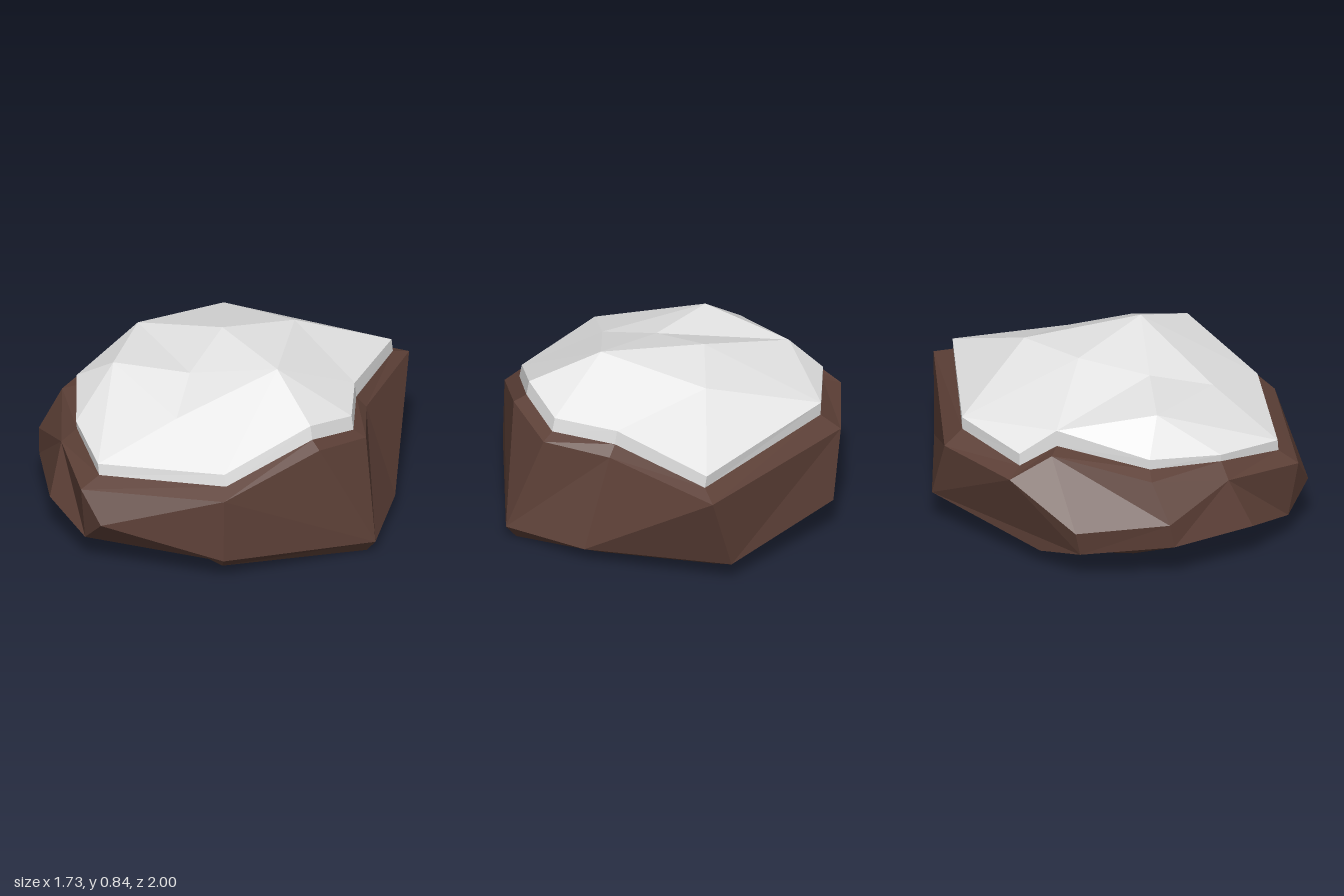
import * as THREE from 'three';

const v = ([x, y, z]) => new THREE.Vector3(x, y, z);

// Flat-shaded mesh from a list of triangles (each three Vector3 corners)
function facetMesh(name, tris, material) {
  const solid = tris.filter(([a, b, c]) =>
    b.clone().sub(a).cross(c.clone().sub(a)).lengthSq() > 1e-12);
  const g = new THREE.BufferGeometry().setFromPoints(solid.flat());
  g.computeVertexNormals();
  const mesh = new THREE.Mesh(g, material);
  mesh.name = name;
  return mesh;
}

// Triangles of a polygon, all sharing the corner numbered apex
function split(poly, apex = 0) {
  const p = [...poly.slice(apex), ...poly.slice(0, apex)];
  return p.slice(2).map((c, i) => [p[0], p[i + 1], c]);
}

// Closed band between two rings; flips lists the quads cut along the other diagonal
const band = (up, low, flips = []) => up.flatMap((a, i) => {
  const j = (i + 1) % up.length;
  return split([a, up[j], low[j], low[i]], flips.includes(i) ? 1 : 0);
});

// Fan closing a ring, facing up or down
function fan(ring, centre, up) {
  return ring.map((p, i) => {
    const q = ring[(i + 1) % ring.length];
    return up ? [centre, q, p] : [centre, p, q];
  });
}

export function createModel() {
  const brown = new THREE.MeshStandardMaterial({ color: 0x5d4037 });
  brown.name = 'rockBrown';
  const pale = new THREE.MeshStandardMaterial({ color: 0xe6e6e6 });
  pale.name = 'capPale';

  // Upper rim of the cap, from the back tip round by the left side (+x),
  // each with the height of the cap's edge there
  const rimData = [
    [0.13, 0.585, -0.895, 0.06], [0.4, 0.64, -0.41, 0.07], [0.63, 0.64, -0.18, 0.07],
    [0.65, 0.7, 0.105, 0.07], [0.515, 0.54, 0.54, 0.06], [0, 0.52, 0.89, 0.058],
    [-0.32, 0.565, 0.74, 0.037], [-0.59, 0.613, 0.49, 0.053], [-0.66, 0.7, 0.03, 0.085],
    [-0.78, 0.6, -0.11, 0.065], [-0.62, 0.63, -0.49, 0.065],
  ];
  const rim = rimData.map(v);
  const foot = rimData.map(([x, y, z, drop]) => v([x * 1.008 + 0.008, y - drop, z]));

  // Raised points on the cap, indices 11 to 16
  const peaks = [
    [0.315, 0.84, 0.015], [-0.18, 0.83, -0.08], [-0.39, 0.745, 0.435],
    [-0.06, 0.75, 0.24], [0.12, 0.667, 0.49], [-0.05, 0.793, -0.43],
  ].map(v);
  const pts = [...rim, ...peaks];
  const facets = [
    [0, 16, 1], [0, 10, 16], [16, 11, 1], [11, 2, 1], [11, 3, 2], [16, 12, 11],
    [10, 12, 16], [10, 8, 12], [10, 9, 8], [8, 14, 12], [12, 14, 11], [8, 13, 14],
    [8, 7, 13], [7, 6, 13], [6, 5, 13], [13, 5, 15], [13, 15, 14], [14, 15, 11],
    [15, 4, 11], [15, 5, 4], [11, 4, 3],
  ];
  const capTop = facets.map((f) => {
    const [a, b, c] = f.map((i) => pts[i]);
    return b.clone().sub(a).cross(c.clone().sub(a)).y > 0 ? [a, b, c] : [a, c, b];
  });

  // Rock columns: shoulder, lower edge, base and, where the wall bulges, a waist point
  const columns = [
    [[0.14, 0.485, -1], [0.02, 0.105, -0.94], [0.07, 0.06, -0.82]],
    [[0.45, 0.52, -0.44], [0.6, 0.075, -0.49], [0.5, 0.03, -0.47]],
    [[0.7, 0.54, -0.21], [0.86, 0.065, -0.125], [0.805, 0, -0.12]],
    [[0.725, 0.6, 0.115], [0.86, 0.065, -0.125], [0.805, 0, -0.12]],
    [[0.58, 0.44, 0.6], [0.585, 0.12, 0.61], [0.55, 0.073, 0.585]],
    [[0, 0.42, 1], [-0.02, 0.135, 0.955], [0, 0.075, 0.6], [0.13, 0.27, 0.99]],
    [[-0.36, 0.46, 0.8], [-0.32, 0.215, 0.91], [-0.3, 0.085, 0.55]],
    [[-0.65, 0.53, 0.53], [-0.67, 0.215, 0.66], [-0.62, 0.1, 0.42], [-0.69, 0.34, 0.645]],
    [[-0.735, 0.6, 0.04], [-0.84, 0.16, 0.24], [-0.78, 0.095, 0], [-0.87, 0.285, 0.23]],
    [[-0.87, 0.5, -0.12], [-0.84, 0.16, 0.24], [-0.78, 0.095, 0]],
    [[-0.7, 0.5, -0.545], [-0.62, 0.18, -0.65], [-0.52, 0.09, -0.52]],
  ].map((c) => c.map(v));
  const [shoulder, edge, base] = [0, 1, 2].map((k) => columns.map((c) => c[k]));

  // Wall facets between neighbouring columns, each split from its own corner
  const apexes = [0, 0, 0, 1, 2, 3, 0, 5, 1, 0, 0];
  const wall = columns.flatMap(([top, low, , waist], i) => {
    const [nextTop, nextLow, , nextWaist] = columns[(i + 1) % columns.length];
    const poly = [top, nextTop, nextWaist, nextLow, low, waist].filter(Boolean);
    return split(poly, apexes[i]);
  });

  const group = new THREE.Group();
  group.name = 'cappedRock';
  group.add(
    facetMesh('rockBody', [
      ...fan(foot, new THREE.Vector3(0, 0.58, 0), true),
      ...band(foot, shoulder),
      ...wall,
      ...band(edge, base, [9]),
      ...fan(base, new THREE.Vector3(0, 0.056, 0), false),
    ], brown),
    facetMesh('cap', [...capTop, ...band(rim, foot)], pale),
  );
  return group;
}
